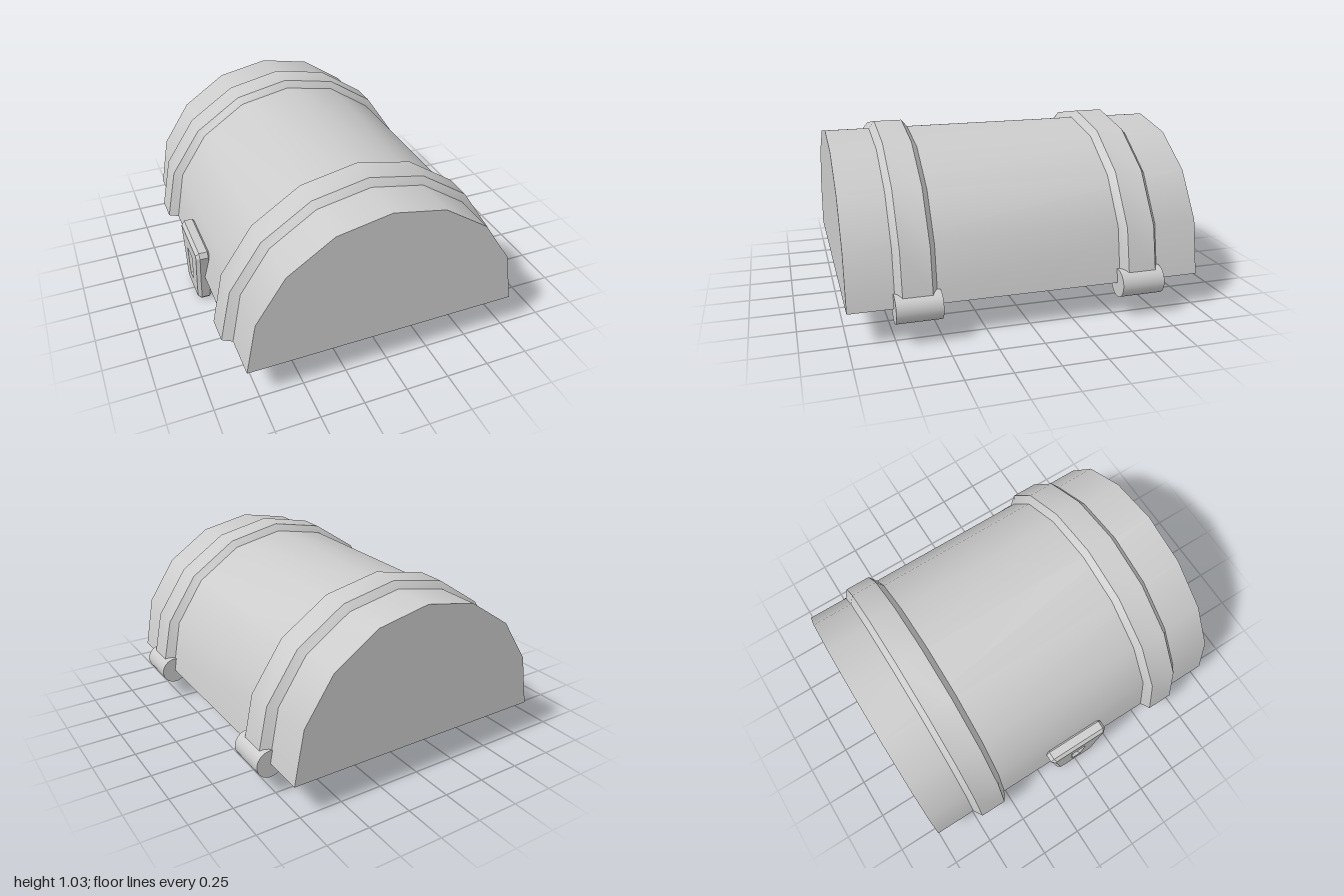
import * as THREE from 'three';
import { toCreasedNormals } from 'three/addons/utils/BufferGeometryUtils.js';

const CX = -0.015; // middle of the arch
const CREASE = 0.55;

// Half arches as [half width, height], from rim to crown
const OUTER = [[0.795, 0.2], [0.736, 0.51], [0.567, 0.765], [0.306, 0.94], [0, 1]];
const INNER = [[0.705, 0.2], [0.65, 0.485], [0.5, 0.7], [0.27, 0.855], [0, 0.91]];
const BAND = [[0.85, 0.2], [0.785, 0.515], [0.6, 0.79], [0.322, 0.975], [0, 1.04]];

// Whole arch, counter-clockwise from the +x rim over the crown to the -x rim
function arch(half) {
  const right = half.map(([w, y]) => new THREE.Vector2(CX + w, y));
  const left = half.slice(0, -1).reverse().map(([w, y]) => new THREE.Vector2(CX - w, y));
  return [...right, ...left];
}

export function createModel() {
  const model = new THREE.Group();
  const material = new THREE.MeshStandardMaterial({ color: 0xcccccc });

  function add(name, geometry, parent = model) {
    const mesh = new THREE.Mesh(geometry, material);
    mesh.name = name;
    parent.add(mesh);
    return mesh;
  }

  function extrudeArch(points, depth) {
    const g = new THREE.ExtrudeGeometry(new THREE.Shape(points), { depth, bevelEnabled: false });
    g.translate(0, 0, -depth / 2);
    return toCreasedNormals(g, CREASE);
  }

  // Hollow barrel lid with a solid wall at each end
  const wall = 0.1;
  add('lidShell', extrudeArch([...arch(OUTER), ...arch(INNER).reverse()], 2));
  for (const s of [1, -1]) {
    add(s > 0 ? 'frontWall' : 'backWall', extrudeArch(arch(INNER), wall)).position.z = s * (1 - wall / 2);
  }

  // Strap with sloping sides, stopping just above the hinge on the +x side
  function strapGeometry() {
    const low = arch(OUTER);
    const high = arch(BAND);
    low[0].lerp(low[1], 0.07 / 0.31);
    high[0].lerp(high[1], 0.07 / 0.315);
    const position = [];
    const index = [];
    low.forEach((p, i) => {
      const q = high[i];
      position.push(p.x, p.y, 0.113, q.x, q.y, 0.08, q.x, q.y, -0.08, p.x, p.y, -0.113);
    });
    for (let i = 0; i < low.length - 1; i++) {
      for (let k = 0; k < 3; k++) {
        const a = i * 4 + k, b = a + 1, c = a + 4, d = a + 5;
        index.push(a, b, c, b, d, c);
      }
    }
    const e = (low.length - 1) * 4;
    index.push(0, 3, 2, 0, 2, 1, e, e + 1, e + 2, e, e + 2, e + 3);
    const g = new THREE.BufferGeometry();
    g.setAttribute('position', new THREE.Float32BufferAttribute(position, 3));
    g.setIndex(index);
    return toCreasedNormals(g, CREASE);
  }

  // Straps and the hinge barrels below them
  const strap = strapGeometry();
  const barrel = new THREE.CylinderGeometry(0.08, 0.08, 0.25, 24).rotateX(Math.PI / 2);
  for (const s of [1, -1]) {
    const end = s > 0 ? 'front' : 'back';
    add(end + 'Strap', strap).position.z = s * 0.636;
    add(end + 'Hinge', barrel).position.set(0.78, 0.2, s * 0.632);
  }

  // Tapered lock plate with bevelled edges and a keyhole
  const lock = new THREE.Group();
  lock.name = 'lock';
  model.add(lock);
  const corners = [[0.115, 0.005], [0.138, 0.03], [0.165, 0.2], [0.2, 0.365], [0.18, 0.395]];
  const outline = new THREE.Shape([
    ...corners.map(([z, y]) => new THREE.Vector2(z, y)),
    ...corners.slice().reverse().map(([z, y]) => new THREE.Vector2(-z, y)),
  ]);
  const keyhole = [[-0.014, 0.12], [-0.032, 0.26], [0.032, 0.26], [0.014, 0.12]];
  outline.holes.push(new THREE.Path(keyhole.map(([z, y]) => new THREE.Vector2(z, y))));
  const bevel = 0.02;
  const plate = new THREE.ExtrudeGeometry(outline, {
    depth: 0.09 - 2 * bevel, bevelThickness: bevel, bevelSize: bevel, bevelOffset: -bevel, bevelSegments: 1,
  });
  plate.rotateY(-Math.PI / 2).translate(-0.765 - bevel, 0, 0);
  add('lockPlate', toCreasedNormals(plate, 0.4), lock);
  add('keyholeFloor', new THREE.BoxGeometry(0.045, 0.24, 0.14), lock).position.set(-0.7885, 0.19, 0);

  return model;
}
